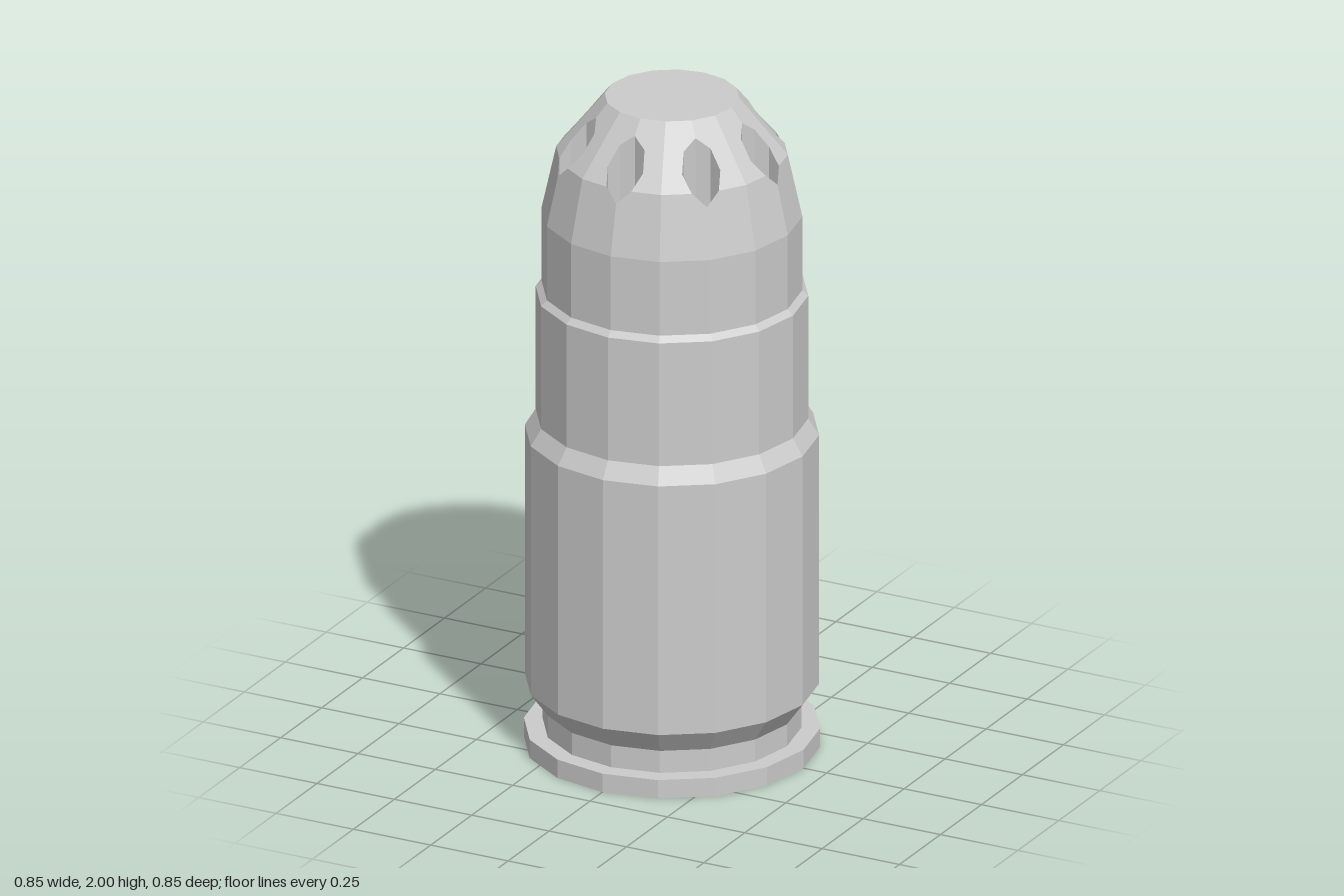
import * as THREE from 'three';
import { mergeGeometries } from 'three/addons/utils/BufferGeometryUtils.js';

const SIDES = 16, HOLES = 8;
const STEP = (2 * Math.PI) / SIDES;
const APOTHEM = Math.cos(STEP / 2);

// nose levels: flat tip, shoulder ring, base of the nose
const TIP = { r: 0.193, y: 2.0 };
const LOW = { r: 0.374, y: 1.64 };
const HOLE_R = 0.057, HOLE_CENTRE = 0.284, HOLE_FLOOR = 1.68;

// outline of a hole, as (distance from axis, sideways)
const holePoint = (i) => {
  const a = (i * Math.PI) / 4;
  return [HOLE_CENTRE - HOLE_R * Math.cos(a), HOLE_R * Math.sin(a)];
};
// distance from the axis measured along a facet's middle direction
const along = ([r, t]) => r * APOTHEM + Math.abs(t) * Math.sin(STEP / 2);

// the shoulder ring passes through the third corner of each hole
const RING = { r: along(holePoint(3)) / APOTHEM, y: 1.83 };

// height of the two nose slopes above a plan point
function noseHeight(p) {
  const d = along(p) / APOTHEM;
  const [a, b] = d < RING.r ? [TIP, RING] : [RING, LOW];
  return a.y + ((b.y - a.y) * (d - a.r)) / (b.r - a.r);
}

// one facet, drawn in plan and then lifted onto the slopes
function facet(points, side) {
  const shape = new THREE.Shape(points.map(([r, t]) => new THREE.Vector2(r, t * side)));
  const g = new THREE.ShapeGeometry(shape).rotateX(-Math.PI / 2);
  const pos = g.attributes.position;
  for (let i = 0; i < pos.count; i++) pos.setY(i, noseHeight([pos.getX(i), pos.getZ(i)]));
  g.deleteAttribute('uv');
  return g;
}

// inward-facing walls of one hole
function holeWalls() {
  const pos = [], idx = [];
  for (let i = 0; i <= 8; i++) {
    const p = holePoint(i);
    pos.push(p[0], noseHeight(p), -p[1], p[0], HOLE_FLOOR, -p[1]);
    if (i < 8) {
      const a = i * 2;
      idx.push(a, a + 2, a + 1, a + 2, a + 3, a + 1);
    }
  }
  const g = new THREE.BufferGeometry();
  g.setAttribute('position', new THREE.Float32BufferAttribute(pos, 3));
  g.setIndex(idx);
  g.computeVertexNormals();
  return g;
}

export function createModel() {
  const group = new THREE.Group();
  const material = new THREE.MeshStandardMaterial({ color: 0xcccccc, flatShading: true });
  const holeMaterial = material.clone();
  holeMaterial.side = THREE.DoubleSide;

  const add = (name, geometry, mat = material) => {
    const mesh = new THREE.Mesh(geometry, mat);
    mesh.name = name;
    group.add(mesh);
  };
  const lathe = (name, profile) =>
    add(name, new THREE.LatheGeometry(profile.map(([r, y]) => new THREE.Vector2(r, y)), SIDES));

  // base with recessed primer, rim and extraction groove
  lathe('primer', [[0, 0.015], [0.122, 0.015], [0.139, 0]]);
  lathe('rim', [[0.139, 0], [0.425, 0], [0.425, 0.057], [0.371, 0.057]]);
  lathe('groove', [[0.371, 0.057], [0.371, 0.125], [0.422, 0.195]]);

  // casing, stepping in to the neck and the nose
  lathe('casing', [[0.422, 0.195], [0.422, 0.965], [0.391, 1.015]]);
  lathe('neck', [[0.391, 1.015], [0.391, 1.395], [LOW.r, 1.412]]);
  lathe('noseBase', [[LOW.r, 1.412], [LOW.r, LOW.y]]);

  // sloped nose, each facet cut by half a hole
  const onCorner = (r) => [r * Math.cos(STEP), r * Math.sin(STEP)];
  const upper = [[TIP.r, 0], ...[0, 1, 2, 3].map(holePoint), onCorner(RING.r), onCorner(TIP.r)];
  const lower = [holePoint(3), holePoint(4), [LOW.r, 0], onCorner(LOW.r), onCorner(RING.r)];
  const slopes = [], walls = [], floors = [];
  for (let j = 0; j < HOLES; j++) {
    const turn = (j * 2 * Math.PI) / HOLES;
    for (const side of [1, -1])
      for (const outline of [upper, lower]) slopes.push(facet(outline, side).rotateY(turn));
    walls.push(holeWalls().rotateY(turn));
    floors.push(new THREE.CircleGeometry(HOLE_R, 8).rotateX(-Math.PI / 2)
      .translate(HOLE_CENTRE, HOLE_FLOOR, 0).rotateY(turn));
  }
  add('nose', mergeGeometries(slopes));
  add('holeWalls', mergeGeometries(walls), holeMaterial);
  add('holeFloors', mergeGeometries(floors));
  add('noseTip', new THREE.CircleGeometry(TIP.r, SIDES).rotateX(-Math.PI / 2).translate(0, TIP.y, 0));

  return group;
}
